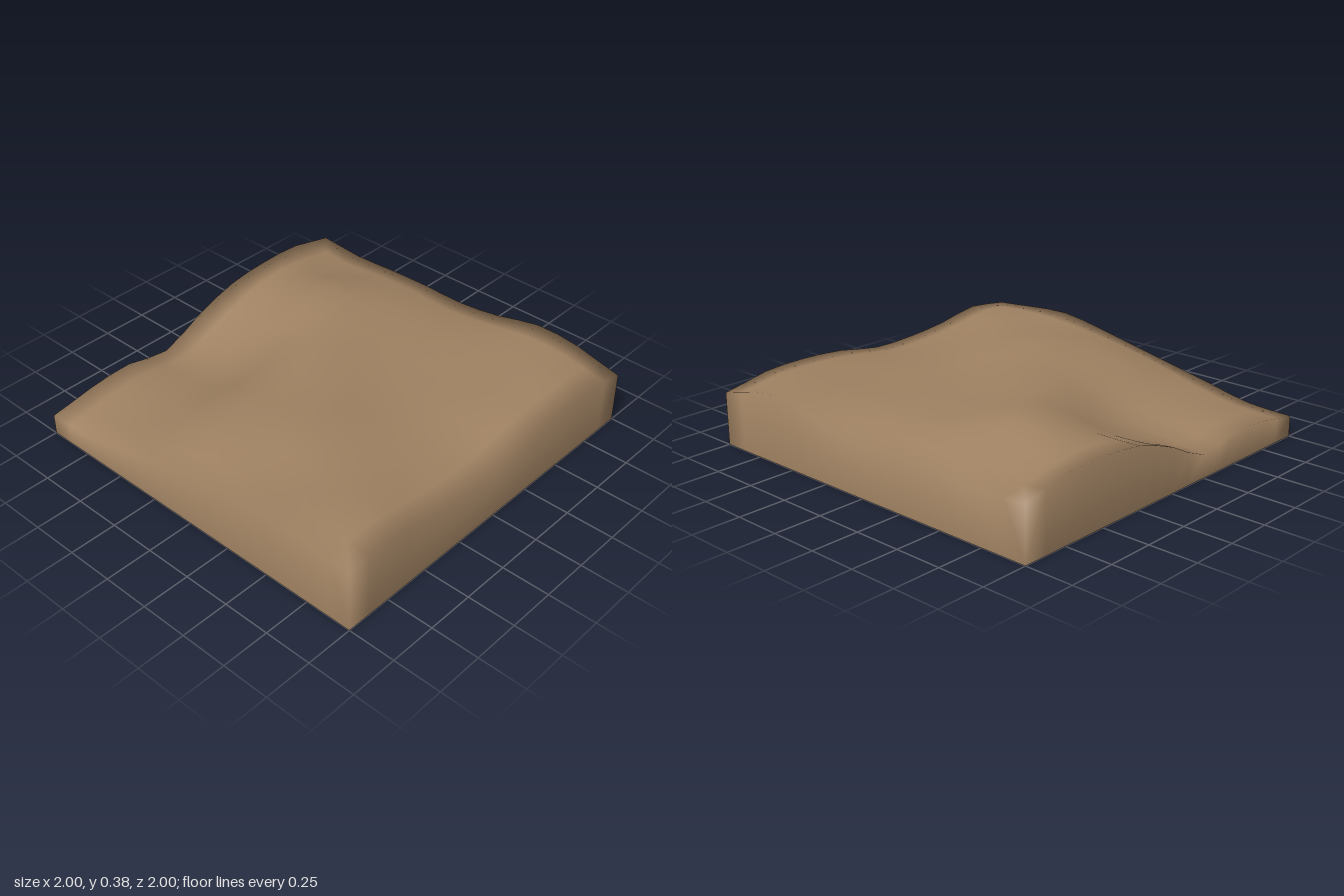
import * as THREE from 'three';
import { mergeVertices } from 'three/addons/utils/BufferGeometryUtils.js';

// Ground heights on a 9 x 9 grid: rows run back to front, columns from -x to +x
const HEIGHTS = [
  [.11, .15, .165, .12, .23, .31, .335, .33, .275],
  [.12, .16, .17, .15, .21, .305, .34, .285, .255],
  [.17, .20, .21, .20, .26, .355, .385, .325, .265],
  [.22, .28, .31, .315, .35, .36, .355, .33, .27],
  [.27, .33, .355, .36, .355, .335, .325, .305, .265],
  [.32, .35, .38, .36, .325, .315, .32, .32, .295],
  [.36, .355, .355, .335, .32, .325, .33, .345, .35],
  [.35, .365, .34, .31, .305, .33, .345, .355, .335],
  [.33, .355, .31, .285, .28, .32, .335, .325, .275],
];

// Catmull-Rom interpolation through evenly spaced values, t from 0 to 1
function spline(values, t) {
  const last = values.length - 1;
  const i = Math.min(Math.floor(t * last), last - 1);
  const f = t * last - i;
  const [a, b, c, d] = [-1, 0, 1, 2].map(k => values[THREE.MathUtils.clamp(i + k, 0, last)]);
  return b + 0.5 * f * (c - a + f * (2 * a - 5 * b + 4 * c - d + f * (3 * (b - c) + d - a)));
}

const heightAt = (u, v) => spline(HEIGHTS.map(row => spline(row, u)), v);

// Height field whose outermost ring of vertices drops straight down as the walls
function terrainGeometry(n) {
  const plane = new THREE.PlaneGeometry(2, 2, n + 2, n + 2);
  const position = plane.attributes.position;
  const side = n + 3;
  for (let row = 0; row < side; row++) {
    for (let col = 0; col < side; col++) {
      const u = THREE.MathUtils.clamp((col - 1) / n, 0, 1);
      const v = THREE.MathUtils.clamp((row - 1) / n, 0, 1);
      const rim = row === 0 || col === 0 || row === side - 1 || col === side - 1;
      position.setXYZ(row * side + col, u * 2 - 1, rim ? 0 : heightAt(u, v), v * 2 - 1);
    }
  }
  // Weld the doubled corner vertices so the shading runs smoothly round the corners
  plane.deleteAttribute('normal');
  plane.deleteAttribute('uv');
  const geometry = mergeVertices(plane);
  geometry.computeVertexNormals();
  return geometry;
}

export function createModel() {
  const model = new THREE.Group();
  model.name = 'terrainBlock';

  // Soil surface and walls, open underneath
  const soil = new THREE.MeshStandardMaterial({ color: 0xa08262, side: THREE.DoubleSide });
  const terrain = new THREE.Mesh(terrainGeometry(16), soil);
  terrain.name = 'terrain';
  model.add(terrain);

  // Small cube hidden beneath the surface
  const cube = new THREE.Mesh(
    new THREE.BoxGeometry(0.265, 0.265, 0.265),
    new THREE.MeshStandardMaterial({ color: 0xcccccc })
  );
  cube.name = 'innerCube';
  cube.position.y = 0.175;
  model.add(cube);

  return model;
}
